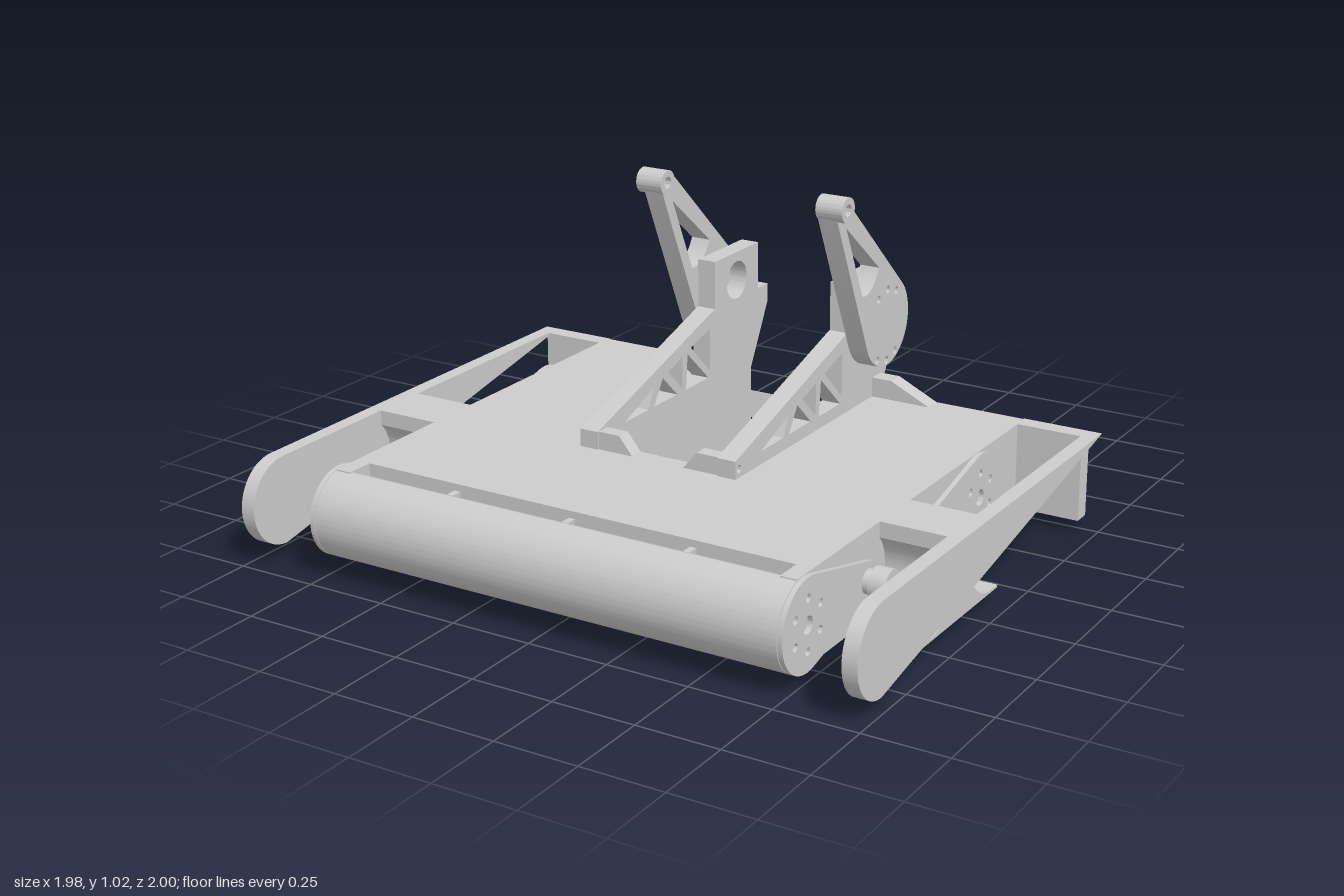
import * as THREE from 'three';
import { toCreasedNormals } from 'three/addons/utils/BufferGeometryUtils.js';

const material = new THREE.MeshStandardMaterial({ color: 0xcccccc });
const root = new THREE.Group();
const CY = 0.178; // height of the track and roller axles
const R = 0.133;  // half the hull height

function add(name, geometry) {
  const mesh = new THREE.Mesh(geometry, material);
  mesh.name = name;
  root.add(mesh);
  return mesh;
}

const poly = pts => new THREE.Shape(pts.map(p => new THREE.Vector2(p[0], p[1])));

function circle(z, y, r) {
  return new THREE.Path().absarc(z, y, r, 0, Math.PI * 2, false);
}

// Outline around two circles of different radius
function taper(z1, y1, r1, z2, y2, r2) {
  const a = Math.atan2(y2 - y1, z2 - z1);
  const b = Math.acos((r1 - r2) / Math.hypot(z2 - z1, y2 - y1));
  const s = new THREE.Shape();
  s.absarc(z1, y1, r1, a + b, a - b + Math.PI * 2, false);
  s.absarc(z2, y2, r2, a - b, a + b, false);
  s.closePath();
  return s;
}

// Side profile (z, y) extruded from x0 to x1
function profile(name, shape, x0, x1, holes = []) {
  shape.holes.push(...holes);
  const lo = Math.min(x0, x1), hi = Math.max(x0, x1);
  const g = new THREE.ExtrudeGeometry(shape, { depth: hi - lo, bevelEnabled: false, curveSegments: 28 });
  g.rotateY(-Math.PI / 2).translate(hi, 0, 0);
  return add(name, toCreasedNormals(g, 0.5));
}

function box(name, x0, x1, y0, y1, z0, z1) {
  const g = new THREE.BoxGeometry(Math.abs(x1 - x0), y1 - y0, z1 - z0);
  return add(name, g.translate((x0 + x1) / 2, (y0 + y1) / 2, (z0 + z1) / 2));
}

// Cylinder lying along x
function rod(name, x0, x1, y, z, r, sides = 28) {
  const g = new THREE.CylinderGeometry(r, r, Math.abs(x1 - x0), sides);
  return add(name, g.rotateZ(Math.PI / 2).translate((x0 + x1) / 2, y, z));
}

// Front profile (x, y) extruded from z0 to z1
function gusset(name, pts, z0, z1) {
  const g = new THREE.ExtrudeGeometry(poly(pts), { depth: z1 - z0, bevelEnabled: false });
  return add(name, g.translate(0, 0, z0));
}

function boltHoles(z, y, r, count, holeR) {
  return Array.from({ length: count }, (_, i) => {
    const a = (i / count) * Math.PI * 2 + Math.PI / 6;
    return circle(z + r * Math.cos(a), y + r * Math.sin(a), holeR);
  });
}

function buildHull() {
  // Deck block with the rear notch
  const deck = poly([[-0.745, -0.785], [0.745, -0.785], [0.745, 0.51], [0.2, 0.51], [0.2, -0.31],
    [-0.2, -0.31], [-0.2, 0.51], [-0.745, 0.51]]);
  const g = new THREE.ExtrudeGeometry(deck, { depth: 0.266, bevelEnabled: false });
  add('deck', g.rotateX(-Math.PI / 2).translate(0, 0.045, 0));

  // Rounded nose behind a slot with ribs
  const nose = new THREE.Shape();
  nose.moveTo(0.862, 0.311);
  nose.lineTo(0.84, 0.27);
  nose.lineTo(0.84, 0.09);
  nose.lineTo(0.862, 0.045);
  nose.absarc(0.84, CY, R, -1.4, 1.4, false);
  profile('noseRoller', nose, -0.745, 0.745);
  for (const x of [-0.385, 0, 0.385]) box('slotRib', x - 0.01, x + 0.01, 0.07, 0.29, 0.78, 0.845);
}

// Cross member between track bays, hollowed for the wheels
function crossMember() {
  const s = new THREE.Shape();
  const c = 0.15, r = 0.125, a = Math.asin(0.087 / r);
  s.moveTo(0.24, 0.311);
  s.lineTo(0.24, CY + 0.087);
  s.absarc(c, CY, r, a, -Math.PI / 2, true);
  s.lineTo(0.1, 0.053);
  s.lineTo(0.1, 0.045);
  s.lineTo(0.565, 0.045);
  s.lineTo(0.565, 0.053);
  s.absarc(0.66 - c, CY, r, -Math.PI / 2, -Math.PI - a, true);
  s.lineTo(0.42, 0.311);
  return s;
}

function buildTrackSide(s) {
  const rail = new THREE.Shape();
  rail.moveTo(-0.515, 0.045);
  rail.absarc(0.867, CY, R, -Math.PI / 2, Math.PI / 2, false);
  rail.lineTo(-0.515, 0.311);
  profile('sideRail', rail, s * 0.945, s * 0.99);
  box('rearBeam', s * 0.74, s * 0.95, 0.045, 0.311, -0.515, -0.46);
  profile('crossMember', crossMember(), s * 0.74, s * 0.95);
  box('slotEnd', s * 0.695, s * 0.745, 0.045, 0.311, 0.78, 0.87);

  // Tapered side plates with hubs
  for (const [zBig, zHub] of [[0.84, 0.515], [-0.175, 0.15]]) {
    profile('trackPlate', taper(zBig, CY, R, zHub, CY, 0.055), s * 0.747, s * 0.762,
      [circle(zBig, CY, 0.025), ...boltHoles(zBig, CY, 0.075, 6, 0.012)]);
    rod('hub', s * 0.76, s * 0.785, CY, zHub, 0.035);
    rod('hubBody', s * 0.785, s * 0.835, CY, zHub, 0.048);
    rod('hubShaft', s * 0.835, s * 0.862, CY, zHub, 0.023);
  }
}

function buildLift(s) {
  // Trussed upright
  const truss = [
    [[0.22, 0.35], [0.09, 0.35], [0.06, 0.41]],
    [[0.06, 0.35], [-0.07, 0.35], [0.01, 0.425]],
    [[-0.02, 0.435], [-0.1, 0.46], [-0.1, 0.36]],
    [[-0.12, 0.35], [-0.25, 0.35], [-0.13, 0.46]],
    [[-0.15, 0.475], [-0.26, 0.505], [-0.26, 0.37]],
  ].map(poly);
  profile('upright', poly([[0.36, 0.31], [0.36, 0.365], [-0.27, 0.555], [-0.29, 0.56], [-0.29, 0.71],
    [-0.55, 0.71], [-0.55, 0.56], [-0.61, 0.56], [-0.61, 0.5], [-0.51, 0.31]]),
    s * 0.2, s * 0.26, [...truss, circle(0.34, 0.337, 0.012), circle(-0.42, 0.62, 0.06)]);

  // Feet bracing the upright
  const mirror = pts => pts.map(([x, y]) => [s * x, y]);
  gusset('frontFoot', mirror([[0.085, 0.31], [0.2, 0.31], [0.2, 0.365], [0.13, 0.365]]), 0.31, 0.355);
  gusset('rearFoot', mirror([[0.26, 0.31], [0.455, 0.31], [0.325, 0.372], [0.26, 0.372]]), -0.51, -0.455);

  // Swing arm: disc, two struts and a pivot tube
  const bolts = [[-0.362, 0.655], [-0.42, 0.672], [-0.475, 0.655], [-0.362, 0.465], [-0.42, 0.45], [-0.475, 0.465]];
  const window = new THREE.Path();
  window.moveTo(-0.15, 0.925);
  window.lineTo(-0.258, 0.69);
  window.quadraticCurveTo(-0.32, 0.68, -0.36, 0.755);
  window.closePath();
  profile('swingArm', taper(-0.42, 0.57, 0.137, -0.12, 0.988, 0.035), s * 0.262, s * 0.325,
    [window, circle(-0.12, 0.988, 0.018), ...bolts.map(([z, y]) => circle(z, y, 0.012))]);
  const tube = new THREE.Shape().absarc(-0.12, 0.988, 0.038, 0, Math.PI * 2, false);
  profile('pivotTube', tube, s * 0.26, s * 0.347, [circle(-0.12, 0.988, 0.018)]);

  // Guide wheel in the notch
  rod('guideShaft', s * 0.11, s * 0.205, CY, 0.21, 0.009, 12);
  rod('guideWheel', s * 0.14, s * 0.17, CY, 0.21, 0.036, 12);
}

function buildPaddle(s, x0, x1) {
  // Hollow wedge: top skin, tip and two cheeks
  profile('paddleSkin', poly([[-0.61, 0.188], [-0.61, 0.168], [-0.985, 0.006], [-1, 0.012], [-0.998, 0.033]]),
    s * x0, s * x1);
  for (const [a, b, dir] of [[x0 + 0.005, x0 + 0.017, 1], [x1 - 0.017, x1 - 0.005, -1]]) {
    profile('paddleCheek', poly([[-0.52, 0.17], [-0.535, 0.195], [-0.555, 0.19], [-0.595, 0.165], [-0.61, 0.186],
      [-0.995, 0.03], [-0.985, 0.006], [-0.555, 0.1], [-0.525, 0.13]]), s * a, s * b,
      [circle(-0.54, 0.165, 0.012)]);
    const lug = dir > 0 ? b + 0.003 : a - 0.003;
    profile('hingeLug', poly([[-0.505, 0.22], [-0.53, 0.22], [-0.56, 0.185], [-0.565, 0.16], [-0.545, 0.14], [-0.505, 0.11]]),
      s * lug, s * (lug + dir * 0.02));
    rod('hingePin', s * (dir > 0 ? a : b), s * (lug + dir * 0.02), 0.165, -0.54, 0.012, 16);
  }
}

export function createModel() {
  root.clear();
  buildHull();
  for (const s of [1, -1]) {
    buildTrackSide(s);
    buildLift(s);
    buildPaddle(s, 0.28, 0.47);
    buildPaddle(s, 0.522, 0.714);
  }
  return root;
}
